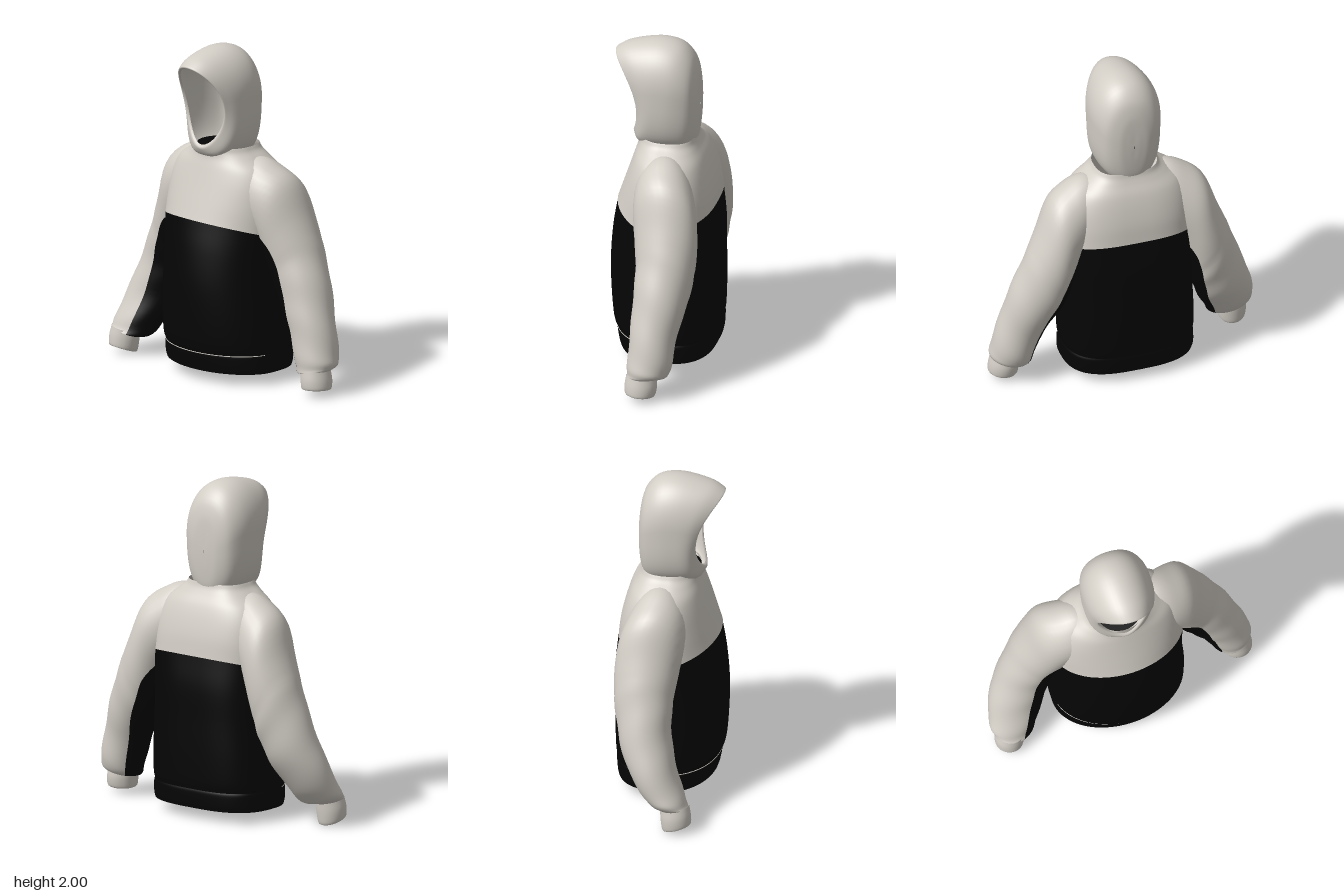
import * as THREE from 'three';

const lightFabric = new THREE.MeshStandardMaterial({ color: 0xd2cdc5, side: THREE.DoubleSide });
lightFabric.name = 'lightFabric';
const blackFabric = new THREE.MeshStandardMaterial({ color: 0x050505, side: THREE.DoubleSide });
blackFabric.name = 'blackFabric';

// Smoothly resample a table of cross-section stations
function resample(stations, perSpan) {
  const curve = new THREE.CubicInterpolant(
    Float32Array.from(stations.keys()), Float32Array.from(stations.flat()), stations[0].length);
  const count = (stations.length - 1) * perSpan;
  return Array.from({ length: count + 1 }, (_, i) => Array.from(curve.evaluate(i / perSpan)));
}

// Skin closed rings of points; the first `split` columns use material 0, the rest material 1
function loft(rings, split = Infinity) {
  const n = rings[0].length;
  const index = [[], []];
  for (let r = 0; r < rings.length - 1; r++) {
    for (let i = 0; i < n; i++) {
      const a = r * n + i, b = r * n + (i + 1) % n;
      index[i < split ? 0 : 1].push(a, b, a + n, b, b + n, a + n);
    }
  }
  const geo = new THREE.BufferGeometry();
  geo.setAttribute('position', new THREE.Float32BufferAttribute(rings.flat(2), 3));
  geo.setIndex(index.flat());
  geo.addGroup(0, index[0].length, 0);
  if (index[1].length) geo.addGroup(index[0].length, index[1].length, 1);
  geo.computeVertexNormals();
  return geo;
}

function add(parent, name, geometry, material) {
  const mesh = new THREE.Mesh(geometry, material);
  mesh.name = name;
  parent.add(mesh);
  return mesh;
}

const power = (v, n) => Math.sign(v) * Math.abs(v) ** (2 / n);

// Torso ring: rounded front, flatter back. Station: y, half width, front z, back z, seam arch
function torsoRing([y, hw, zf, zb, arch]) {
  return Array.from({ length: 64 }, (_, i) => {
    const a = -i / 64 * Math.PI * 2, front = Math.sin(a) > 0, n = front ? 2 : 2.9;
    const z = front ? zf * power(Math.sin(a), n) : -zb * power(Math.sin(a), n);
    return [-0.02 + hw * power(Math.cos(a), n), y + arch * 0.09 * (Math.abs(z) / 0.3 - 1), z];
  });
}

// Sleeve ring. Station: outer x,y, inner x,y, front z, back z,
// extent of the dark inner panel towards front and back in degrees, tilt
const LIGHT = 24, DARK = 14;
function sleeveRing([ox, oy, ix, iy, zf, zb, front, back, tilt], side, row, crease) {
  const points = [];
  const f = Math.PI - THREE.MathUtils.degToRad(front), b = Math.PI + THREE.MathUtils.degToRad(back);
  for (let i = 0; i < LIGHT + DARK; i++) {
    const a = i < LIGHT
      ? THREE.MathUtils.lerp(b - 2 * Math.PI, f, i / LIGHT)
      : THREE.MathUtils.lerp(f, b, (i - LIGHT) / DARK);
    const k = 1 + crease * Math.sin(row * 0.9 + 2 * a);
    const u = (1 + k * Math.cos(a)) / 2, s = k * Math.sin(a);
    points.push([
      side * (ix + (ox - ix) * u),
      iy + (oy - iy) * u + tilt * s,
      (zf + zb) / 2 + (zf - zb) / 2 * s,
    ]);
  }
  return points;
}

// Hood ring around the face axis.
// Station: half width, bottom y, top y, z at bottom / middle / top, squareness of lower half
function hoodRing([hw, yb, yt, z0, z1, z2, n]) {
  const mid = yb + (yt - yb) * 0.58;
  return Array.from({ length: 56 }, (_, i) => {
    const a = i / 56 * Math.PI * 2, c = Math.cos(a), e = c < 0 ? n : 2.1;
    const y = mid + power(c, e) * (c < 0 ? mid - yb : yt - mid);
    const s = (y - yb) / (yt - yb);
    const z = z0 * (1 - s) * (1 - 2 * s) + z1 * 4 * s * (1 - s) + z2 * s * (2 * s - 1);
    return [-0.027 + hw * power(Math.sin(a), e), y, z];
  });
}

const hem = [
  [0.07, 0.395, 0.268, -0.31, 0], [0.1, 0.402, 0.277, -0.316, 0],
  [0.165, 0.4, 0.288, -0.32, 0], [0.19, 0.393, 0.288, -0.316, 0],
];
const body = [
  [0.18, 0.393, 0.288, -0.316, 0], [0.24, 0.402, 0.31, -0.325, 0], [0.4, 0.4, 0.325, -0.33, 0.1],
  [0.6, 0.39, 0.33, -0.33, 0.3], [0.8, 0.39, 0.315, -0.328, 0.65], [0.985, 0.4, 0.285, -0.308, 1],
];
const yoke = [
  [0.985, 0.4, 0.287, -0.31, 1], [1.1, 0.395, 0.25, -0.295, 0.6], [1.2, 0.375, 0.215, -0.27, 0.2],
  [1.28, 0.33, 0.187, -0.24, 0], [1.34, 0.255, 0.168, -0.205, 0], [1.375, 0.21, 0.165, -0.187, 0],
  [1.405, 0.19, 0.165, -0.178, 0],
];

const sleeves = {
  left: [
    [0.13, 1.33, 0.1, 1.1, 0.07, -0.14, 30, 30, 0], [0.24, 1.352, 0.16, 1.02, 0.1, -0.185, 30, 30, 0],
    [0.345, 1.315, 0.22, 0.93, 0.125, -0.23, 35, 30, 0], [0.46, 1.23, 0.3, 0.82, 0.115, -0.27, 58, 40, 0],
    [0.545, 1.03, 0.34, 0.69, 0.09, -0.285, 84, 58, 0], [0.625, 0.84, 0.37, 0.58, 0.07, -0.275, 88, 62, 0],
    [0.705, 0.64, 0.43, 0.47, 0.07, -0.25, 77, 60, 0], [0.77, 0.43, 0.495, 0.36, 0.07, -0.21, 63, 52, 0],
    [0.815, 0.25, 0.555, 0.2, 0.075, -0.19, 54, 46, 0], [0.82, 0.18, 0.585, 0.12, 0.075, -0.165, 48, 44, 0],
    [0.8, 0.15, 0.63, 0.13, 0.075, -0.105, 44, 44, 0],
  ],
  right: [
    [0.15, 1.33, 0.12, 1.1, 0.07, -0.14, 30, 30, 0], [0.265, 1.355, 0.18, 1.02, 0.1, -0.185, 30, 30, 0],
    [0.375, 1.315, 0.24, 0.93, 0.125, -0.23, 35, 30, 0], [0.49, 1.225, 0.31, 0.82, 0.115, -0.27, 58, 38, 0],
    [0.565, 1.03, 0.36, 0.7, 0.09, -0.285, 84, 50, 0], [0.64, 0.84, 0.39, 0.58, 0.07, -0.275, 90, 50, 0],
    [0.71, 0.64, 0.41, 0.49, 0.07, -0.25, 86, 48, 0], [0.785, 0.43, 0.455, 0.36, 0.1, -0.2, 78, 44, 0],
    [0.825, 0.25, 0.53, 0.2, 0.16, -0.1, 72, 42, 0], [0.828, 0.18, 0.575, 0.12, 0.19, -0.03, 68, 40, 0],
    [0.805, 0.15, 0.64, 0.13, 0.2, 0.03, 55, 40, 0.01],
  ],
};
const cuffs = {
  left: [
    [0.8, 0.165, 0.632, 0.135, 0.075, -0.105, 45, 45, 0], [0.815, 0.1, 0.636, 0.085, 0.083, -0.11, 45, 45, 0],
    [0.818, 0.05, 0.642, 0.037, 0.08, -0.1, 45, 45, 0.005], [0.805, 0.052, 0.655, 0.042, 0.066, -0.086, 45, 45, 0.005],
    [0.79, 0.14, 0.65, 0.12, 0.062, -0.09, 45, 45, 0],
  ],
  right: [
    [0.805, 0.165, 0.642, 0.135, 0.2, 0.028, 45, 45, 0.015], [0.818, 0.1, 0.643, 0.085, 0.21, 0.032, 45, 45, 0.02],
    [0.815, 0.04, 0.652, 0.026, 0.213, 0.042, 45, 45, 0.025], [0.802, 0.045, 0.665, 0.032, 0.2, 0.056, 45, 45, 0.025],
    [0.79, 0.14, 0.665, 0.12, 0.185, 0.045, 45, 45, 0.02],
  ],
};

const hoodStations = [
  [0.158, 1.42, 1.9, 0.188, 0.155, 0.295, 1.9], [0.166, 1.408, 1.908, 0.2, 0.163, 0.308, 1.9],
  [0.176, 1.39, 1.922, 0.198, 0.157, 0.3, 2.1], [0.2, 1.35, 1.965, 0.165, 0.11, 0.22, 2.8],
  [0.21, 1.335, 2.0, 0.09, 0.04, 0.05, 3.2], [0.203, 1.33, 1.982, -0.03, -0.06, -0.075, 3.2],
  [0.165, 1.33, 1.915, -0.125, -0.15, -0.15, 3], [0.1, 1.36, 1.83, -0.175, -0.189, -0.182, 2.4],
  [0.045, 1.47, 1.74, -0.193, -0.197, -0.193, 2], [0.002, 1.59, 1.61, -0.198, -0.198, -0.198, 2],
];

// Flat dark oval that closes the view into the garment
function lining(parent, name, y, hw, zf, zb) {
  const mesh = add(parent, name, new THREE.CircleGeometry(1, 40), blackFabric);
  mesh.rotation.x = -Math.PI / 2;
  mesh.scale.set(hw, (zf - zb) / 2, 1);
  mesh.position.set(-0.025, y, (zf + zb) / 2);
}

export function createModel() {
  const hoodie = new THREE.Group();
  hoodie.name = 'hoodedSweatshirt';

  // Torso
  const torso = (name, table, material) =>
    add(hoodie, name, loft(resample(table, 5).map(torsoRing)), material);
  torso('hemBand', hem, blackFabric);
  torso('lowerBody', body, blackFabric);
  torso('yoke', yoke, lightFabric);
  lining(hoodie, 'bodyLining', 0.84, 0.37, 0.27, -0.28);

  // Thin light stitching along the front of the hem
  const stitches = torsoRing([0.182, 0.394, 0.289, -0.316, 0]).slice(34, 63).map((p) => new THREE.Vector3(...p));
  add(hoodie, 'hemStitching',
    new THREE.TubeGeometry(new THREE.CatmullRomCurve3(stitches), 60, 0.003, 5), lightFabric);

  // Sleeves with a dark inner panel, and ribbed cuffs
  for (const [name, side] of [['left', 1], ['right', -1]]) {
    const arm = new THREE.Group();
    arm.name = name + 'Arm';
    const rows = resample(sleeves[name], 5).map((s, row) =>
      sleeveRing(s, side, row, row > 23 && row < 47 ? 0.015 : 0));
    add(arm, name + 'Sleeve', loft(rows, LIGHT), [lightFabric, blackFabric]);
    const cuffRows = resample(cuffs[name], 4).map((s) => sleeveRing(s, side, 0, 0));
    add(arm, name + 'Cuff', loft(cuffRows), lightFabric);
    hoodie.add(arm);
  }

  // Hood
  add(hoodie, 'hood', loft(resample(hoodStations, 4).map(hoodRing)), lightFabric);
  lining(hoodie, 'neckLining', 1.405, 0.14, 0.165, -0.11);

  return hoodie;
}
